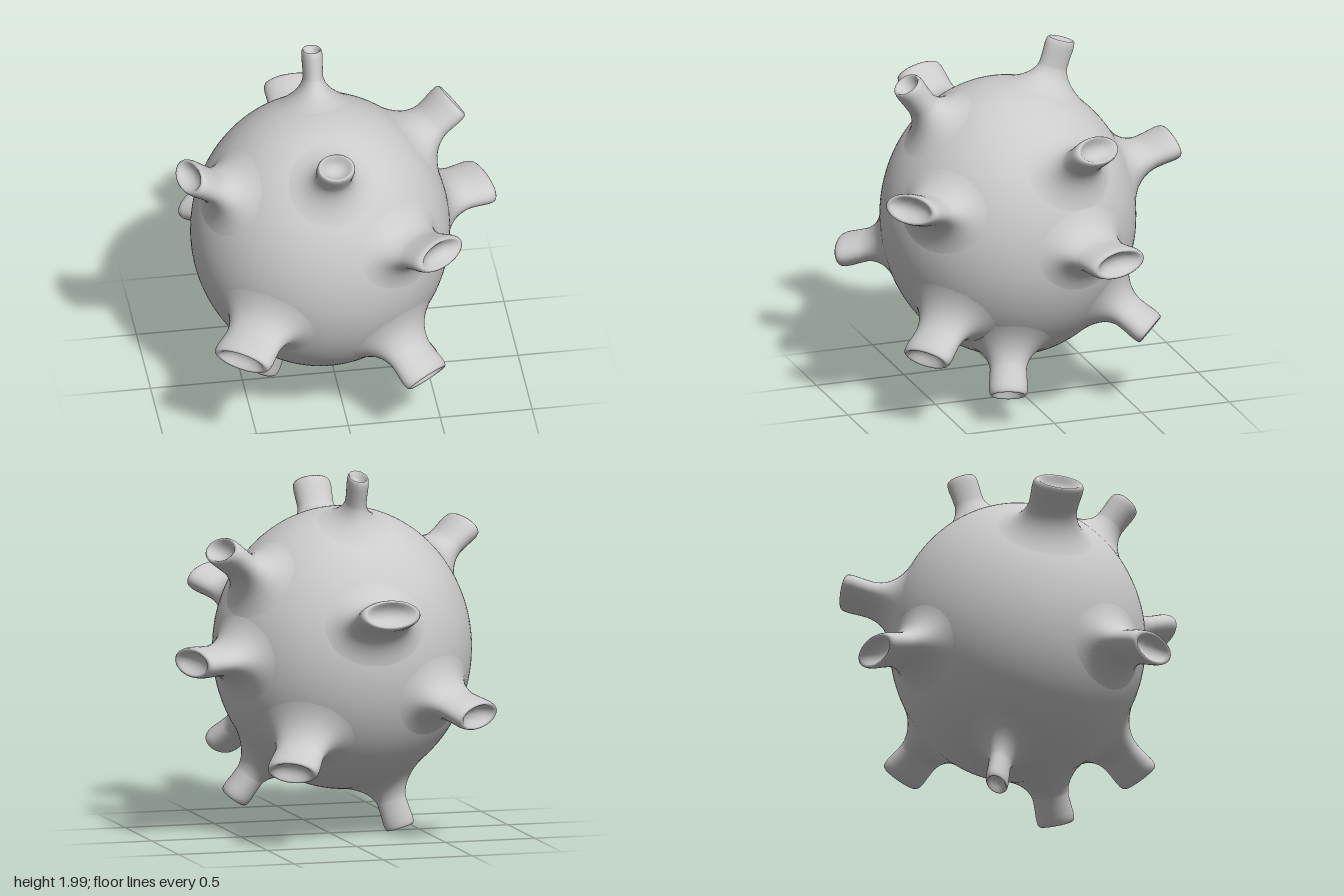
import * as THREE from 'three';

const CENTER = new THREE.Vector3(-0.085, 1.003, 0.055);
const RADII = new THREE.Vector3(0.7, 0.765, 0.69);

// Centre of each spout's mouth
const TIPS = {
  crownSpout: [-0.085, 1.975, -0.25],
  upperFrontSpout: [-0.085, 1.82, 0.635],
  upperLeftSpout: [0.67, 1.6, -0.19],
  upperRightSpout: [-0.84, 1.605, 0.3],
  frontLeftSpout: [0.46, 1.31, 0.81],
  backSpout: [-0.085, 1.315, -0.88],
  leftSpout: [0.85, 1.0, -0.25],
  frontRightSpout: [-0.63, 0.71, 0.8],
  backRightSpout: [-0.63, 0.71, -0.7],
  lowerFrontSpout: [0.4, 0.42, 0.7],
  lowerBackSpout: [0.39, 0.43, -0.59],
  lowerLeftSpout: [0.465, 0.18, 0.25],
  bottomSpout: [-0.38, 0.025, -0.05],
};

// Mouth profile: [distance from the tip, scale of the cross-section]
const MOUTH = [[0.1, 0.97], [0.05, 1], [0.025, 0.99], [0.008, 0.95], [0, 0.87],
  [0.006, 0.78], [0.025, 0.64], [0.042, 0.45], [0.05, 0.22], [0.052, 0.001]];
const SIDES = 40;
const FLARE_STEPS = 12;

// Elliptical spout that flares out of the body and ends in a dished mouth
function spoutGeometry(tip) {
  const axis = new THREE.Vector3(...tip).sub(CENTER);
  const length = axis.length();
  axis.normalize();
  const across = new THREE.Vector3(0, 1, 0).cross(axis).normalize();
  const upward = axis.clone().cross(across);
  // Spouts get narrower towards the top and bottom of the body
  const halfWidth = 0.172 * Math.sqrt(1 - axis.y * axis.y) + 0.005;
  const halfHeight = 0.083;

  const at = (h, a, b) => axis.clone().multiplyScalar(h).addScaledVector(across, a).addScaledVector(upward, b);
  const onBody = (a, b, lift) => {
    const p = at(0.72, a, b);
    return p.multiplyScalar(lift / p.clone().divide(RADII).length());
  };

  const columns = [];
  for (let j = 0; j < SIDES; j++) {
    const c = Math.cos((j / SIDES) * Math.PI * 2);
    const s = Math.sin((j / SIDES) * Math.PI * 2);
    const flare = new THREE.QuadraticBezierCurve3(
      onBody((halfWidth + 0.17) * c, (halfHeight + 0.2) * s, 0.997),
      onBody((halfWidth + 0.005) * c, (halfHeight + 0.01) * s, 1.025),
      at(length - 0.15, halfWidth * 0.95 * c, halfHeight * 0.97 * s));
    const mouth = MOUTH.map(([d, k]) => at(length - d, halfWidth * k * c, halfHeight * k * s));
    columns.push([...flare.getPoints(FLARE_STEPS), ...mouth]);
  }

  const rows = columns[0].length;
  const positions = [];
  const index = [];
  for (let i = 0; i < rows; i++) {
    for (let j = 0; j < SIDES; j++) {
      const p = columns[j][i].add(CENTER);
      positions.push(p.x, p.y, p.z);
      if (i === rows - 1) continue;
      const a = i * SIDES + j;
      const b = i * SIDES + ((j + 1) % SIDES);
      index.push(a, b, b + SIDES, a, b + SIDES, a + SIDES);
    }
  }
  const geometry = new THREE.BufferGeometry();
  geometry.setAttribute('position', new THREE.Float32BufferAttribute(positions, 3));
  geometry.setIndex(index);
  geometry.computeVertexNormals();
  return geometry;
}

export function createModel() {
  const group = new THREE.Group();
  const material = new THREE.MeshStandardMaterial({ color: 0xcccccc });
  const add = (name, geometry) => {
    const mesh = new THREE.Mesh(geometry, material);
    mesh.name = name;
    group.add(mesh);
  };

  // Slightly tall round body
  const body = new THREE.SphereGeometry(1, 96, 64);
  body.scale(RADII.x, RADII.y, RADII.z);
  body.translate(CENTER.x, CENTER.y, CENTER.z);
  add('body', body);

  for (const [name, tip] of Object.entries(TIPS)) add(name, spoutGeometry(tip));
  return group;
}
